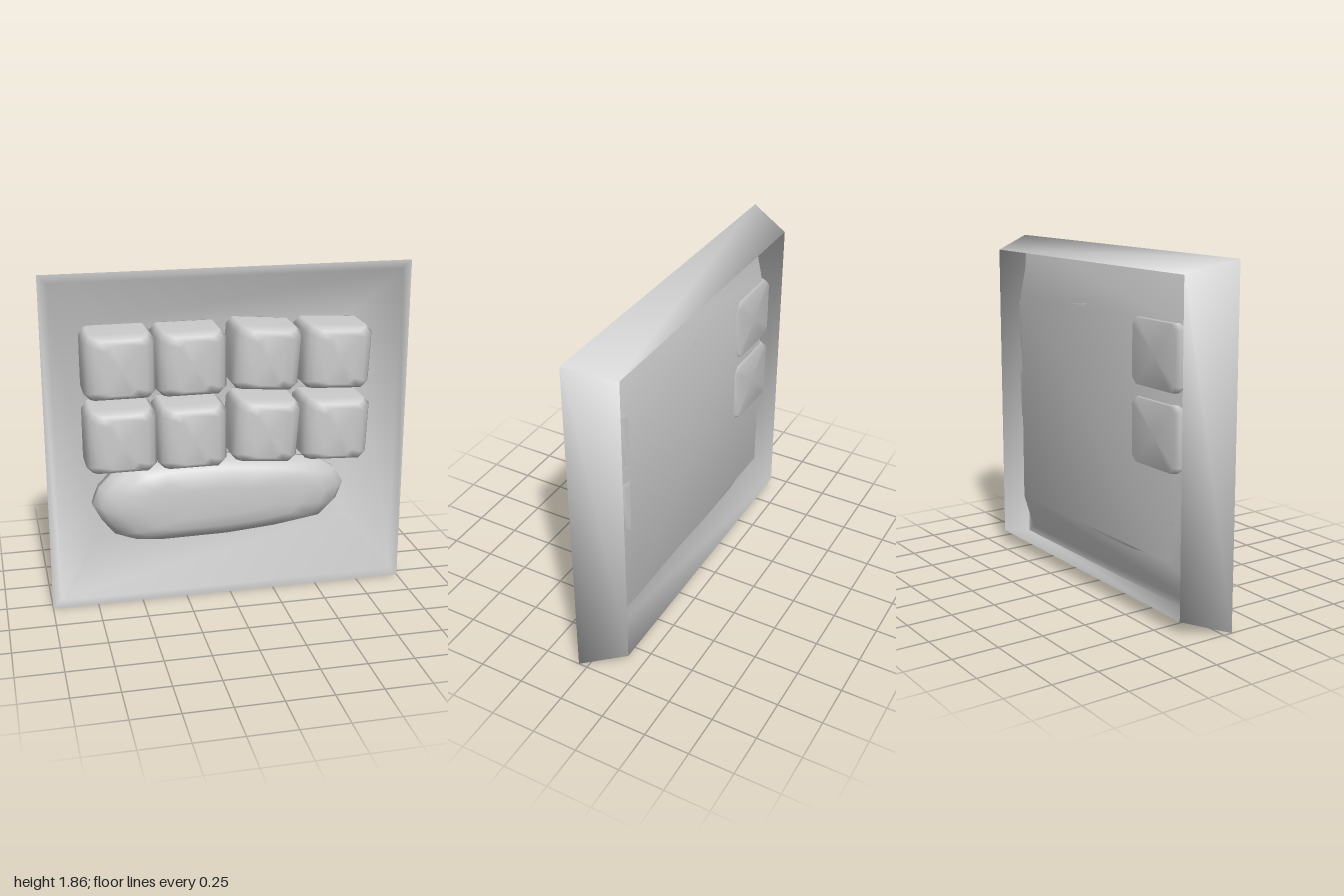
import * as THREE from 'three';

// Smooth skin through rings of [x, y, z] points (counterclockwise seen from +z).
function loft(rings, capBack, capFront) {
  const n = rings[0].length, pos = rings.flat(2), idx = [];
  for (let i = 0; i < rings.length - 1; i++) {
    for (let j = 0; j < n; j++) {
      const a = i * n + j, b = i * n + (j + 1) % n;
      idx.push(a, b, b + n, a, b + n, a + n);
    }
  }
  const cap = (r, front) => {
    const c = pos.length / 3, ring = rings[r];
    for (let k = 0; k < 3; k++) pos.push(ring.reduce((s, p) => s + p[k], 0) / n);
    for (let j = 0; j < n; j++) {
      const a = r * n + j, b = r * n + (j + 1) % n;
      idx.push(c, ...(front ? [a, b] : [b, a]));
    }
  };
  if (capBack) cap(0, false);
  if (capFront) cap(rings.length - 1, true);
  const g = new THREE.BufferGeometry();
  g.setAttribute('position', new THREE.Float32BufferAttribute(pos, 3));
  g.setIndex(idx);
  g.computeVertexNormals();
  return g;
}

const rect = (hx, y0, y1, z) => [[-hx, y0, z], [hx, y0, z], [hx, y1, z], [-hx, y1, z]];

// Rectangle with cut corners
function octagon(hx, hy, c, z) {
  return [[-hx + c, -hy], [hx - c, -hy], [hx, -hy + c], [hx, hy - c],
    [hx - c, hy], [-hx + c, hy], [-hx, hy - c], [-hx, -hy + c]].map(([x, y]) => [x, y, z]);
}

// Block whose front is rounded more at the sides than at the top and bottom
function blockGeometry(w, h, back, front) {
  const steps = [[back, 0.012], [back + 0.025, 0], [front - 0.09, 0], [front - 0.045, 0.02],
    [front - 0.015, 0.055], [front, 0.11]];
  return loft(steps.map(([z, inset]) =>
    octagon(w / 2 - inset, h / 2 - inset * 0.35, 0.034, z)), true, true);
}

export function createModel() {
  const group = new THREE.Group();
  const grey = new THREE.MeshStandardMaterial({ color: 0xcccccc });
  const thin = new THREE.MeshStandardMaterial({ color: 0xcccccc, side: THREE.DoubleSide });
  const add = (name, geometry, material = grey) => {
    const m = new THREE.Mesh(geometry, material);
    m.name = name;
    group.add(m);
    return m;
  };

  // Tray: flared wall open at the back, then the rim sloping in to a sunken floor
  const frontEdge = rect(1, 0, 1.86, 0.05);
  add('trayWall', loft([rect(0.885, 0.075, 1.79, -0.19), frontEdge], false, false), thin);
  add('trayPanel', loft([
    frontEdge,
    rect(0.95, 0.045, 1.815, 0.05),
    rect(0.73, 0.325, 1.54, -0.138),
  ], false, true), thin);

  // Two rows of blocks: x, y, width, height, tilt, back z, front z
  const columns = [
    [-0.6, 1.372, 0.38, 0.345, 0, -0.158, 0.175],
    [-0.22, 1.375, 0.375, 0.345, 0, -0.136, 0.19],
    [0.185, 1.378, 0.37, 0.342, -0.08, -0.136, 0.19],
    [0.574, 1.364, 0.378, 0.345, -0.045, -0.136, 0.19],
  ];
  for (let row = 0; row < 2; row++) {
    columns.forEach(([x, y, w, h, tilt, back, front], i) => {
      const block = add(`block${row + 1}_${i + 1}`, blockGeometry(w, h, back, front));
      block.position.set(x, y - row * 0.405, 0);
      block.rotation.z = tilt;
    });
  }

  // Long domed loaf, tapering and leaning back towards one end
  const outline = [[-0.75, 0.545], [-0.7, 0.45], [-0.63, 0.36], [-0.54, 0.325], [-0.4, 0.31],
    [0, 0.31], [0.3, 0.33], [0.58, 0.37], [0.665, 0.45], [0.705, 0.55], [0.65, 0.64],
    [0.54, 0.715], [0.3, 0.75], [0, 0.78], [-0.4, 0.78], [-0.54, 0.76], [-0.64, 0.71], [-0.71, 0.64]];
  const layers = [[-0.136, 1, 0], [-0.1, 1, 0.03], [-0.04, 0.94, 0.03], [0.005, 0.81, 0.03],
    [0.03, 0.62, 0.03], [0.039, 0.35, 0.03]];
  add('loaf', loft(layers.map(([z, s, lean]) => outline.map(([x, y]) =>
    [-0.02 + (x + 0.02) * s, 0.545 + (y - 0.545) * s, z - lean * x * s])), true, true));

  return group;
}
